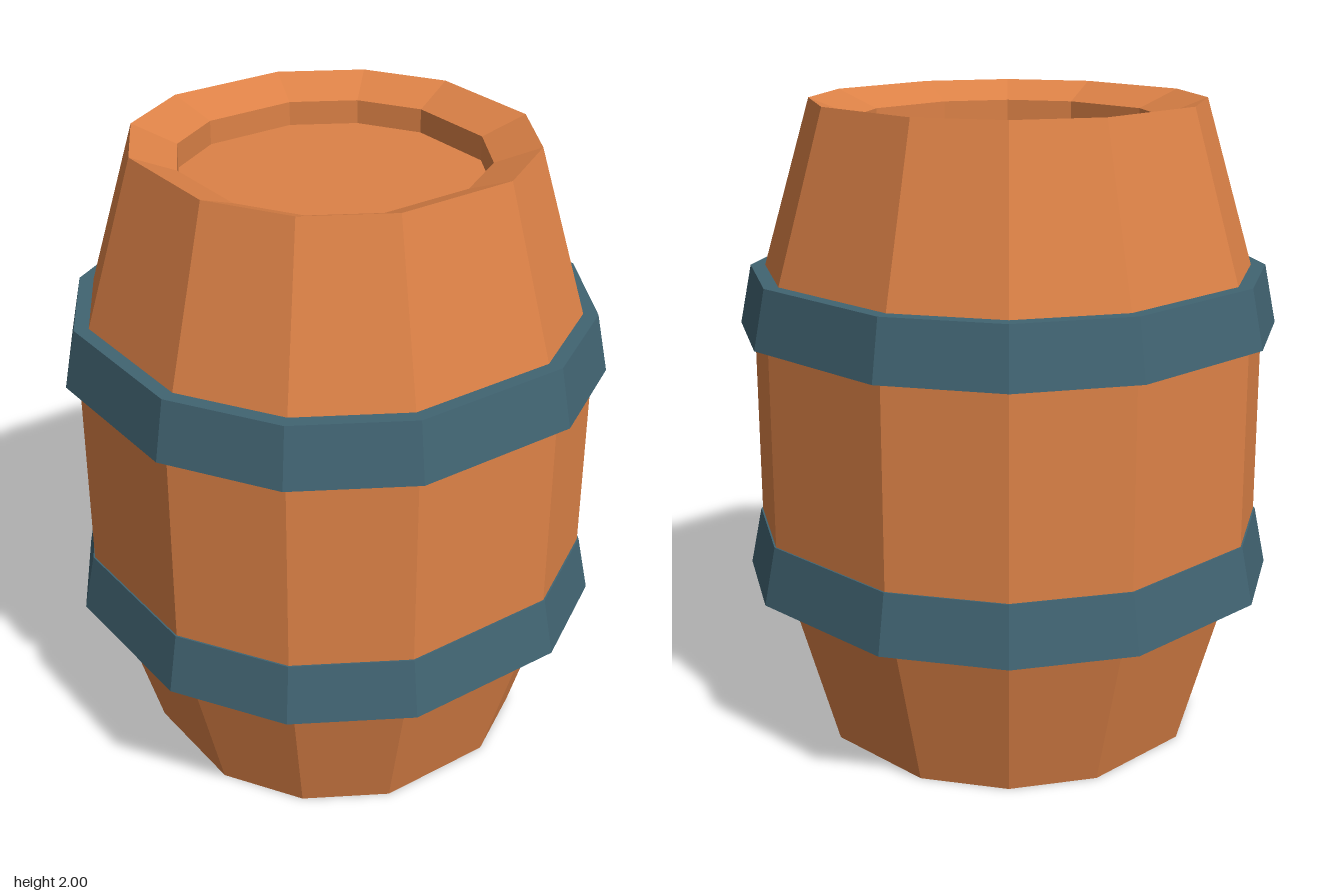
import * as THREE from 'three';

// Twelve-cornered cross-section with wider flats facing the four axes
const CORNERS = [];
for (let q = 0; q < 4; q++) {
  for (const [x, z] of [[1 / 3, 1], [0.75, 0.75], [1, 1 / 3]]) {
    const c = [1, 0, -1, 0][q], s = [0, 1, 0, -1][q];
    CORNERS.push([x * c + z * s, z * c - x * s]);
  }
}

// Sweeps a profile of [half width, height] points around the cross-section
function loft(profile, smooth = false) {
  const n = CORNERS.length, pos = [], index = [];
  for (const [a, y] of profile) for (const [x, z] of CORNERS) pos.push(x * a, y, z * a);
  for (let r = 0; r < profile.length - 1; r++) {
    for (let i = 0; i < n; i++) {
      const j = (i + 1) % n, lo = r * n, up = lo + n;
      if (profile[r][0] > 0) index.push(lo + i, lo + j, up + j);
      if (profile[r + 1][0] > 0) index.push(lo + i, up + j, up + i);
      else if (profile[r][0] > 0) continue;
    }
  }
  let geo = new THREE.BufferGeometry();
  geo.setAttribute('position', new THREE.Float32BufferAttribute(pos, 3));
  geo.setIndex(index);
  if (!smooth) geo = geo.toNonIndexed();
  geo.computeVertexNormals();
  return geo;
}

export function createModel() {
  const wood = new THREE.MeshStandardMaterial({ color: 0xdd8247 });
  const iron = new THREE.MeshStandardMaterial({ color: 0x416472 });
  wood.name = 'wood';
  iron.name = 'iron';

  const barrel = new THREE.Group();
  barrel.name = 'barrel';
  const add = (name, geo, mat) => {
    const mesh = new THREE.Mesh(geo, mat);
    mesh.name = name;
    barrel.add(mesh);
  };

  // Staves with the bottom rim and the bevelled top rim
  add('staves', loft([[0.49, 0], [0.57, 0], [0.75, 0.66], [0.75, 1.35], [0.57, 2], [0.44, 1.945], [0.44, 1.87]]), wood);
  // Recessed lid
  add('lid', loft([[0.44, 1.87], [0, 1.87]]), wood);
  // Hollow underside: rounded wall and its flat end
  add('bottomWall', loft([[0.6, 0.42], [0.49, 0]], true), wood);
  add('bottomPanel', loft([[0, 0.42], [0.6, 0.42]]), wood);

  // Two tapered hoops
  for (const [name, y, low, high] of [['lowerHoop', 0.5, 0.69, 0.74], ['upperHoop', 1.303, 0.74, 0.7]]) {
    add(name, loft([[low, y], [0.79, y], [0.755, y + 0.183], [high, y + 0.183]]), iron);
  }
  return barrel;
}
